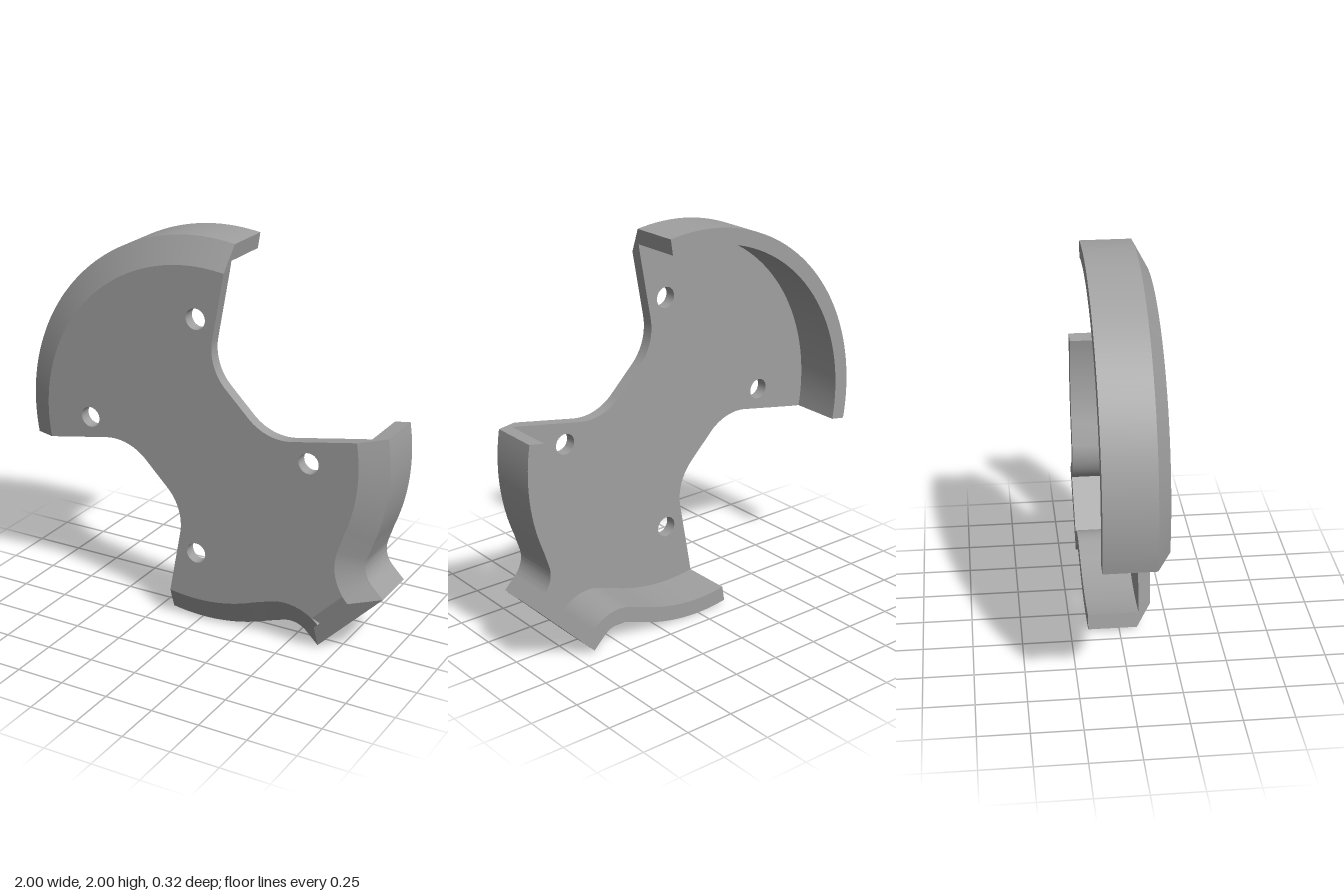
import * as THREE from 'three';
import { toCreasedNormals } from 'three/addons/utils/BufferGeometryUtils.js';

const FRONT = 0.16, BACK = -0.16, PLATE_BACK = 0.1, CHAMFER_Z = 0.09;
const INSET = 0.13, WALL = 0.08;

// Points on an arc, angles in degrees
function arc(cx, cy, r, from, to, steps) {
  return Array.from({ length: steps + 1 }, (_, i) => {
    const a = THREE.MathUtils.degToRad(from + (to - from) * i / steps);
    return new THREE.Vector2(cx + r * Math.cos(a), cy + r * Math.sin(a));
  });
}

// Mitred inward offset of an open counter-clockwise path
function offset(path, d) {
  const normal = (a, b) => new THREE.Vector2(a.y - b.y, b.x - a.x).normalize();
  return path.map((p, i) => {
    const n2 = i < path.length - 1 ? normal(p, path[i + 1]) : normal(path[i - 1], p);
    const n1 = i > 0 ? normal(path[i - 1], p) : n2;
    return n1.clone().add(n2).multiplyScalar(d / (1 + n1.dot(n2))).add(p);
  });
}

// Rim: chamfered wall section swept along a path, capped at both ends
function rimGeometry(path) {
  const section = [[0, BACK], [0, CHAMFER_Z], [INSET, FRONT], [INSET, PLATE_BACK], [WALL, PLATE_BACK], [WALL, BACK]];
  const rows = section.map(([d, z]) => offset(path, d).map(p => [p.x, p.y, z]));
  const pos = [];
  const tri = (a, b, c) => pos.push(...a, ...b, ...c);
  for (let j = 0; j < section.length; j++) {
    if (j === 2) continue; // joins the plate
    const r = rows[j], s = rows[(j + 1) % section.length];
    for (let i = 0; i < path.length - 1; i++) {
      tri(r[i], r[i + 1], s[i + 1]);
      tri(r[i], s[i + 1], s[i]);
    }
  }
  const end = path.length - 1;
  for (const [a, b, c] of [[0, 1, 4], [0, 4, 5], [1, 2, 4], [2, 3, 4]]) {
    tri(rows[a][0], rows[b][0], rows[c][0]);
    tri(rows[c][end], rows[b][end], rows[a][end]);
  }
  const g = new THREE.BufferGeometry();
  g.setAttribute('position', new THREE.Float32BufferAttribute(pos, 3));
  return toCreasedNormals(g, 0.4);
}

// Notch with two rounded corners; s = -1 gives the opposite one
function addNotch(shape, s) {
  shape.lineTo(0.522 * s, 0.092 * s);
  shape.bezierCurveTo(0.4375 * s, 0.077 * s, 0.351 * s, 0.104 * s, 0.29 * s, 0.165 * s);
  shape.lineTo(0.165 * s, 0.29 * s);
  shape.bezierCurveTo(0.104 * s, 0.351 * s, 0.077 * s, 0.4375 * s, 0.092 * s, 0.522 * s);
}

export function createModel() {
  const grey = new THREE.MeshStandardMaterial({ color: 0xa0a0a0 });
  grey.name = 'grey';
  const group = new THREE.Group();
  group.name = 'notchedCover';
  const add = (geometry, name) => {
    const mesh = new THREE.Mesh(geometry, grey);
    mesh.name = name;
    mesh.position.y = 1;
    group.add(mesh);
  };

  // Rim paths: a plain arc, and a mirrored curve ending in a flat tab
  const roundPath = arc(0, 0, 1, 80, 190, 56);
  const half = [
    ...arc(0, 0, 1, 10, -22, 18),
    ...arc(1.023, -0.5, 0.13, 160, 225, 16),
    new THREE.Vector2(0.99, -0.652),
  ];
  const tabPath = [...half.map(p => new THREE.Vector2(-p.y, -p.x)), ...half.slice().reverse()];
  add(rimGeometry(roundPath), 'roundRim');
  add(rimGeometry(tabPath), 'tabRim');

  // Front plate with notches and bolt holes
  const shape = new THREE.Shape();
  const inner = offset(tabPath, INSET);
  shape.moveTo(inner[0].x, inner[0].y);
  inner.slice(1).forEach(p => shape.lineTo(p.x, p.y));
  addNotch(shape, 1);
  offset(roundPath, INSET).forEach(p => shape.lineTo(p.x, p.y));
  addNotch(shape, -1);
  shape.closePath();
  for (const [x, y] of [[1, 0], [-1, 0], [0, 1], [0, -1]]) {
    const hole = new THREE.Path();
    hole.absarc(x * 0.613, y * 0.613, 0.053, 0, Math.PI * 2, true);
    shape.holes.push(hole);
  }
  const plate = new THREE.ExtrudeGeometry(shape, { depth: FRONT - PLATE_BACK, bevelEnabled: false, curveSegments: 16 });
  plate.translate(0, 0, PLATE_BACK);
  add(toCreasedNormals(plate, 0.4), 'plate');

  return group;
}
